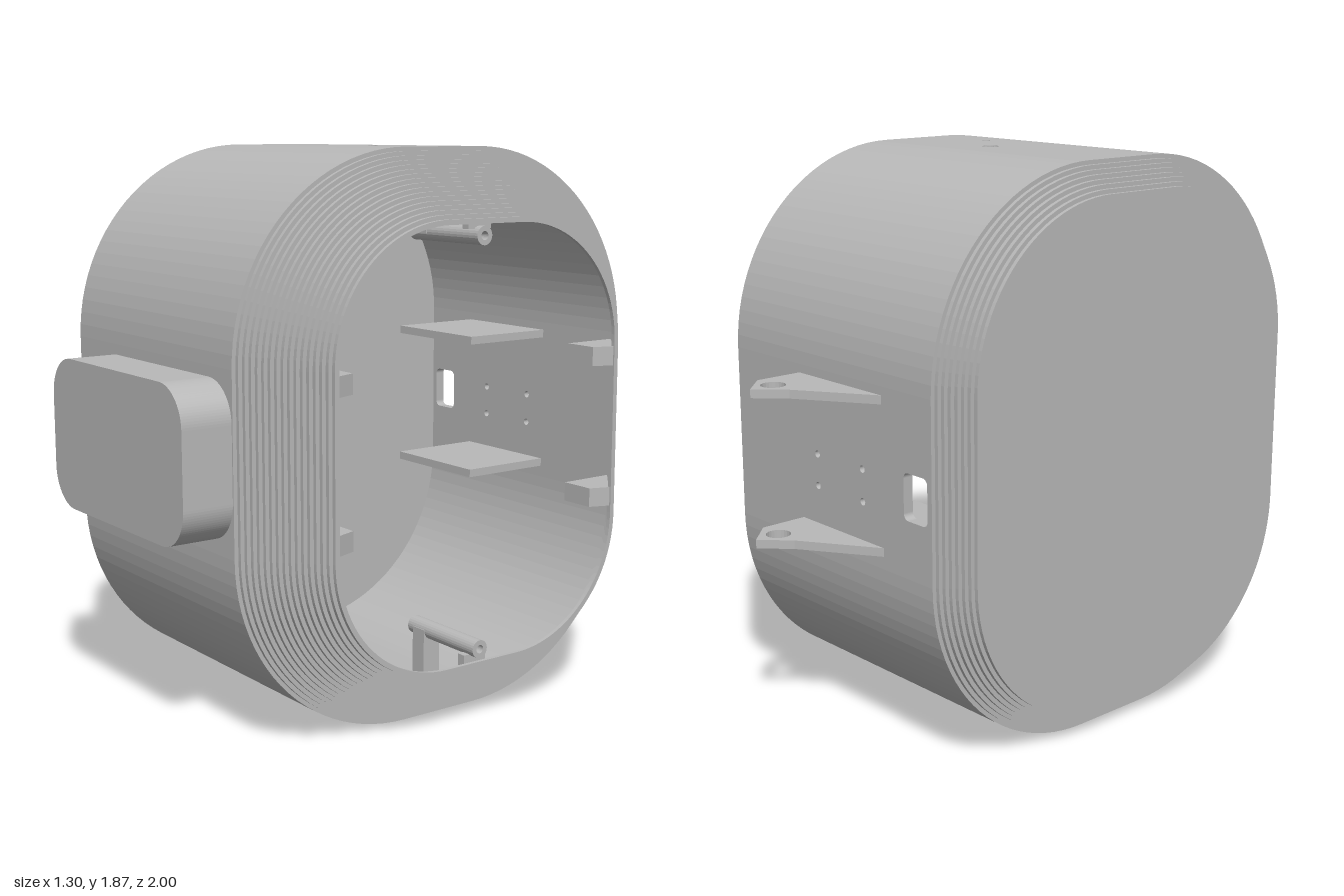
import * as THREE from 'three';

const HX = -0.655, CZ = 0.0375, CY = 0.935;   // closed end, section centre
const HALF_Z = 0.7925, HALF_Y = 0.935, R = 0.645, WALL = 0.035;
const TUBE0 = -0.56, TUBE1 = 0.43, OPEN = 0.65;

// Rounded rectangle path, counter-clockwise
function roundRect(path, cx, cy, hw, hh, r) {
  path.absarc(cx + hw - r, cy + hh - r, r, 0, Math.PI / 2);
  path.absarc(cx - hw + r, cy + hh - r, r, Math.PI / 2, Math.PI);
  path.absarc(cx - hw + r, cy - hh + r, r, Math.PI, Math.PI * 1.5);
  path.absarc(cx + hw - r, cy - hh + r, r, Math.PI * 1.5, Math.PI * 2);
  path.closePath();
  return path;
}
const bodySection = (path, inset) =>
  roundRect(path, -CZ, CY, HALF_Z - inset, HALF_Y - inset, R - inset);

const circle = (x, y, r) => new THREE.Path().absarc(x, y, r, 0, Math.PI * 2);
const rect = (x0, x1, y0, y1, r = 0.02) =>
  roundRect(new THREE.Path(), (x0 + x1) / 2, (y0 + y1) / 2, (x1 - x0) / 2, (y1 - y0) / 2, r);
const poly = (pts) => new THREE.Shape(pts.map(([x, y]) => new THREE.Vector2(x, y)));
const panel = (x0, x1, y0, y1, holes = []) => {
  const s = poly([[x0, y0], [x1, y0], [x1, y1], [x0, y1]]);
  s.holes.push(...holes);
  return s;
};
const extrude = (shape, depth) =>
  new THREE.ExtrudeGeometry(shape, { depth, bevelEnabled: false, curveSegments: 12 });
// Shape drawn as (-z, y), extruded along x
const alongX = (shape, x0, x1) => extrude(shape, x1 - x0).rotateY(Math.PI / 2).translate(x0, 0, 0);
// Shape drawn as (x, -z), extruded along y
const alongY = (shape, y0, y1) => extrude(shape, y1 - y0).rotateX(-Math.PI / 2).translate(0, y0, 0);

export function createModel() {
  const model = new THREE.Group();
  model.name = 'housing';
  const grey = new THREE.MeshStandardMaterial({ color: 0xb8b8b8 });
  grey.name = 'plainGrey';
  grey.flatShading = true;
  const add = (name, geometry, parent = model) => {
    const mesh = new THREE.Mesh(geometry, grey);
    mesh.name = name;
    parent.add(mesh);
    return mesh;
  };
  const group = (name) => {
    const g = new THREE.Group();
    g.name = name;
    model.add(g);
    return g;
  };

  // Closed end: terraced solid layers
  const cap = group('closedEnd');
  const capSteps = 7, capStep = (TUBE0 - HX) / capSteps;
  for (let i = 0; i < capSteps; i++) {
    const x1 = TUBE0 - i * capStep;
    add('capLayer', alongX(bodySection(new THREE.Shape(), (i + 1) * 0.0136), x1 - capStep, x1), cap);
  }

  // Open end: terraced rings around the mouth
  const mouth = group('openEnd');
  const ringSteps = 16, ringStep = (OPEN - TUBE1) / ringSteps;
  for (let i = 0; i < ringSteps; i++) {
    const inset = (i + 1) * 0.0135;
    const ring = bodySection(new THREE.Shape(), inset);
    ring.holes.push(bodySection(new THREE.Path(), i === 0 ? WALL : inset + 0.0165));
    add('mouthRing', alongX(ring, TUBE1 + i * ringStep, TUBE1 + (i + 1) * ringStep), mouth);
  }

  // Main shell: four rounded corners and four flat walls
  const shell = group('shell');
  const fz = HALF_Z - R, fy = HALF_Y - R;
  [[1, 1], [-1, 1], [-1, -1], [1, -1]].forEach(([su, sv], k) => {
    const cu = -CZ + su * fz, cv = CY + sv * fy, a = k * Math.PI / 2, b = a + Math.PI / 2;
    const sector = new THREE.Shape();
    sector.absarc(cu, cv, R, a, b, false);
    sector.absarc(cu, cv, R - WALL, b, a, true);
    sector.closePath();
    add('roundedCorner', alongX(sector, TUBE0, TUBE1), shell);
  });
  for (const y of [0, 2 * HALF_Y - WALL]) {
    const holes = [circle(0, 0.01, 0.027), circle(0.17, -0.125, 0.014)];
    add(y ? 'topWall' : 'bottomWall',
      alongY(panel(TUBE0, TUBE1, -CZ - fz, -CZ + fz, holes), y, y + WALL), shell);
  }
  const frontWindow = rect(0.02, 0.18, 0.76, 0.94, 0.01);
  add('frontWall', extrude(panel(TUBE0, TUBE1, CY - fy, CY + fy, [frontWindow]), WALL)
    .translate(0, 0, CZ + HALF_Z - WALL), shell);
  const backHoles = [rect(-0.54, -0.43, 0.83, 0.98)];
  for (const x of [0, -0.23]) for (const y of [0.84, 0.945]) backHoles.push(circle(x, y, 0.012));
  add('backWall', extrude(panel(TUBE0, TUBE1, CY - fy, CY + fy, backHoles), WALL)
    .translate(0, 0, CZ - HALF_Z), shell);

  // Raised pad on the front
  const pad = roundRect(new THREE.Shape(), 0, 0.94, 0.425, 0.25, 0.13);
  add('frontPad', extrude(pad, 0.172).translate(0, 0, 0.828));

  // Hinge plates running through the back wall
  for (const y of [0.7, 1.183]) {
    const plate = poly([[-0.33, 0.375], [0.085, 0.375], [0.085, 0.915], [0, 1],
      [-0.085, 0.915], [-0.33, 0.755]]);
    plate.holes.push(circle(0, 0.915, 0.04));
    add('hingePlate', alongY(plate, y - 0.014, y + 0.014));
  }

  // Wedge clips just inside the mouth
  for (const y of [0.7, 1.18]) {
    for (const s of [-1, 1]) {
      const u = (d) => -CZ + s * d;
      const pts = [[0.645, u(0.56)], [0.62, u(0.49)], [0.5, u(0.49)], [0.5, u(0.69)]];
      add('wedgeClip', alongY(poly(s > 0 ? pts : pts.reverse()), y - 0.032, y + 0.032));
    }
  }

  // Screw bosses at top and bottom of the mouth
  for (const s of [-1, 1]) {
    const y = CY + s * 0.665;
    const boss = new THREE.Shape().absarc(-0.04, y, 0.03, 0, Math.PI * 2);
    boss.holes.push(circle(-0.04, y, 0.014));
    add('screwBoss', alongX(boss, 0.3, 0.64));
    add('bossWeb', new THREE.BoxGeometry(0.06, 0.26, 0.066).translate(0.36, CY + s * 0.79, 0.04));
    add('bossFoot', new THREE.BoxGeometry(0.03, 0.05, 0.09).translate(0.6, CY + s * 0.71, 0.04));
  }
  return model;
}
